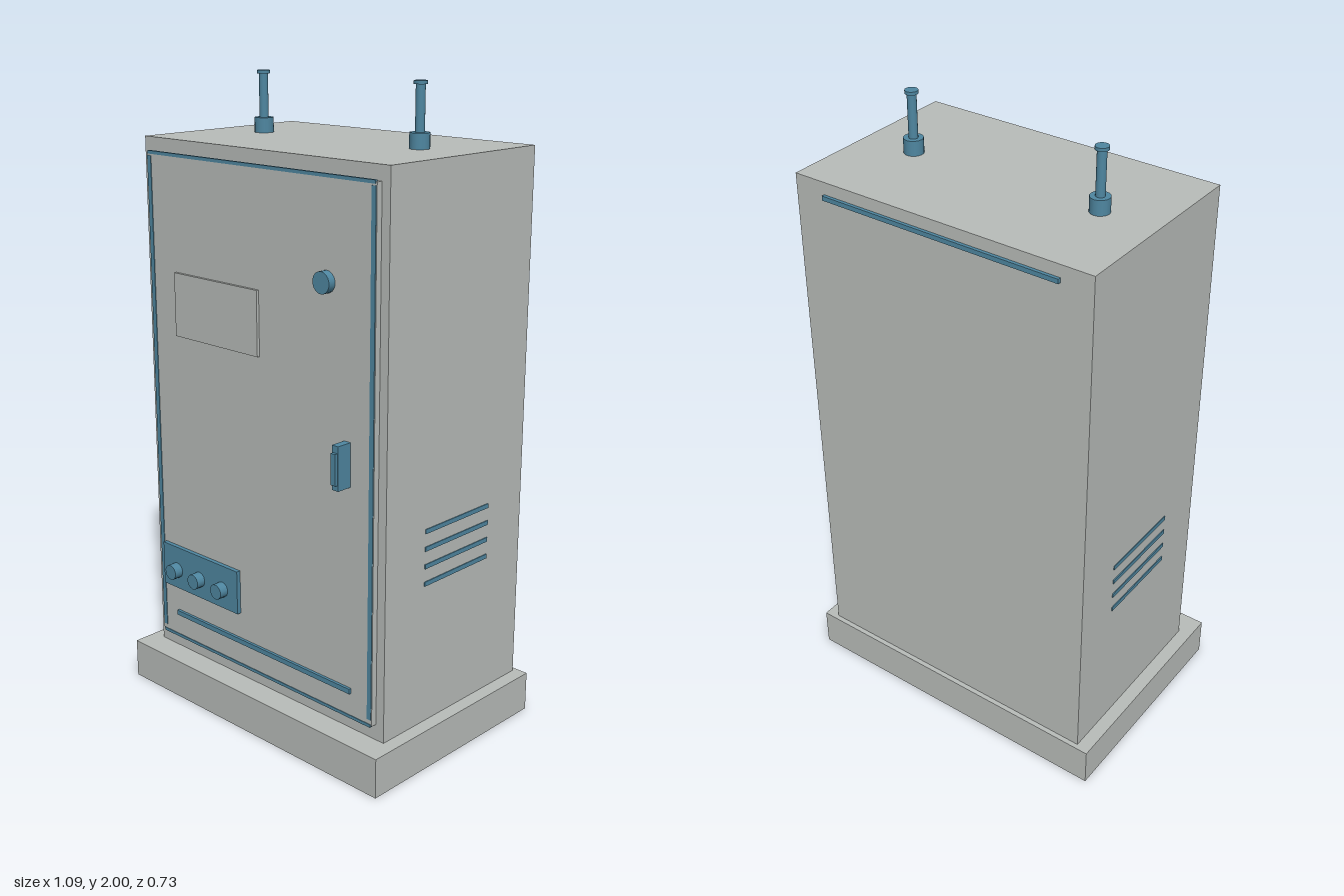
import * as THREE from 'three';

export function createModel() {
  const model = new THREE.Group();
  model.name = 'controlCabinet';
  const grey = new THREE.MeshStandardMaterial({ color: 0xb9bdba });
  grey.name = 'cabinet grey';
  const blue = new THREE.MeshStandardMaterial({ color: 0x4f87a1 });
  blue.name = 'fitting blue';

  const add = (name, geometry, material) => {
    const mesh = new THREE.Mesh(geometry, material);
    mesh.name = name;
    model.add(mesh);
    return mesh;
  };
  // Box given by its limits on each axis
  const box = (name, material, [x0, x1], [y0, y1], [z0, z1]) => {
    add(name, new THREE.BoxGeometry(x1 - x0, y1 - y0, z1 - z0), material)
      .position.set((x0 + x1) / 2, (y0 + y1) / 2, (z0 + z1) / 2);
  };
  // Round fitting that points out of the door
  const dial = (name, x, y, r, z0, z1, sides) => {
    const g = new THREE.CylinderGeometry(r, r, z1 - z0, sides).rotateX(Math.PI / 2);
    add(name, g, blue).position.set(x, y, (z0 + z1) / 2);
  };
  // Upright round part on the roof
  const post = (name, x, r, y0, y1) => {
    add(name, new THREE.CylinderGeometry(r, r, y1 - y0, 16), blue)
      .position.set(x, (y0 + y1) / 2, -0.047);
  };

  // Plinth, body and door
  box('plinth', grey, [-0.544, 0.544], [0, 0.127], [-0.363, 0.363]);
  box('body', grey, [-0.5, 0.5], [0.127, 1.811], [-0.347, 0.281]);
  box('door', grey, [-0.47, 0.47], [0.178, 1.767], [0.281, 0.3]);

  // Door seal
  for (const y of [0.178, 1.767])
    box('doorSealRail', blue, [-0.465, 0.465], [y - 0.005, y + 0.005], [0.293, 0.302]);
  for (const s of [-1, 1])
    box('doorSealStile', blue, [s * 0.46 - 0.008, s * 0.46 + 0.008], [0.198, 1.757], [0.293, 0.302]);

  // Door fittings
  box('displayPlate', grey, [-0.35, 0.015], [1.213, 1.412], [0.3, 0.309]);
  box('lowerStrip', blue, [-0.39, 0.388], [0.256, 0.272], [0.3, 0.309]);
  dial('lock', 0.288, 1.477, 0.032, 0.3, 0.324, 18);
  box('handle', blue, [0.356, 0.38], [0.9, 1.033], [0.3, 0.35]);
  box('handleGrip', blue, [0.36, 0.378], [0.918, 1.012], [0.35, 0.36]);

  // Control panel with three knobs
  box('controlPanel', blue, [-0.442, -0.088], [0.358, 0.502], [0.3, 0.314]);
  for (const x of [-0.375, -0.266, -0.157])
    dial('controlKnob', x, 0.422, 0.025, 0.314, 0.344, 14);

  // Side vents
  for (const s of [-1, 1])
    for (let i = 0; i < 4; i++) {
      const y = 0.579 + i * 0.055;
      box('sideVent', blue, [s * 0.5 - 0.003, s * 0.5 + 0.003], [y - 0.007, y + 0.007], [-0.182, 0.11]);
    }

  // Strip at the top of the back
  box('backStrip', blue, [-0.397, 0.397], [1.759, 1.773], [-0.357, -0.347]);

  // Antennas
  for (const x of [-0.318, 0.318]) {
    post('antennaBase', x, 0.03, 1.811, 1.857);
    post('antennaRod', x, 0.014, 1.857, 1.99);
    post('antennaCap', x, 0.02, 1.99, 2);
  }
  return model;
}
